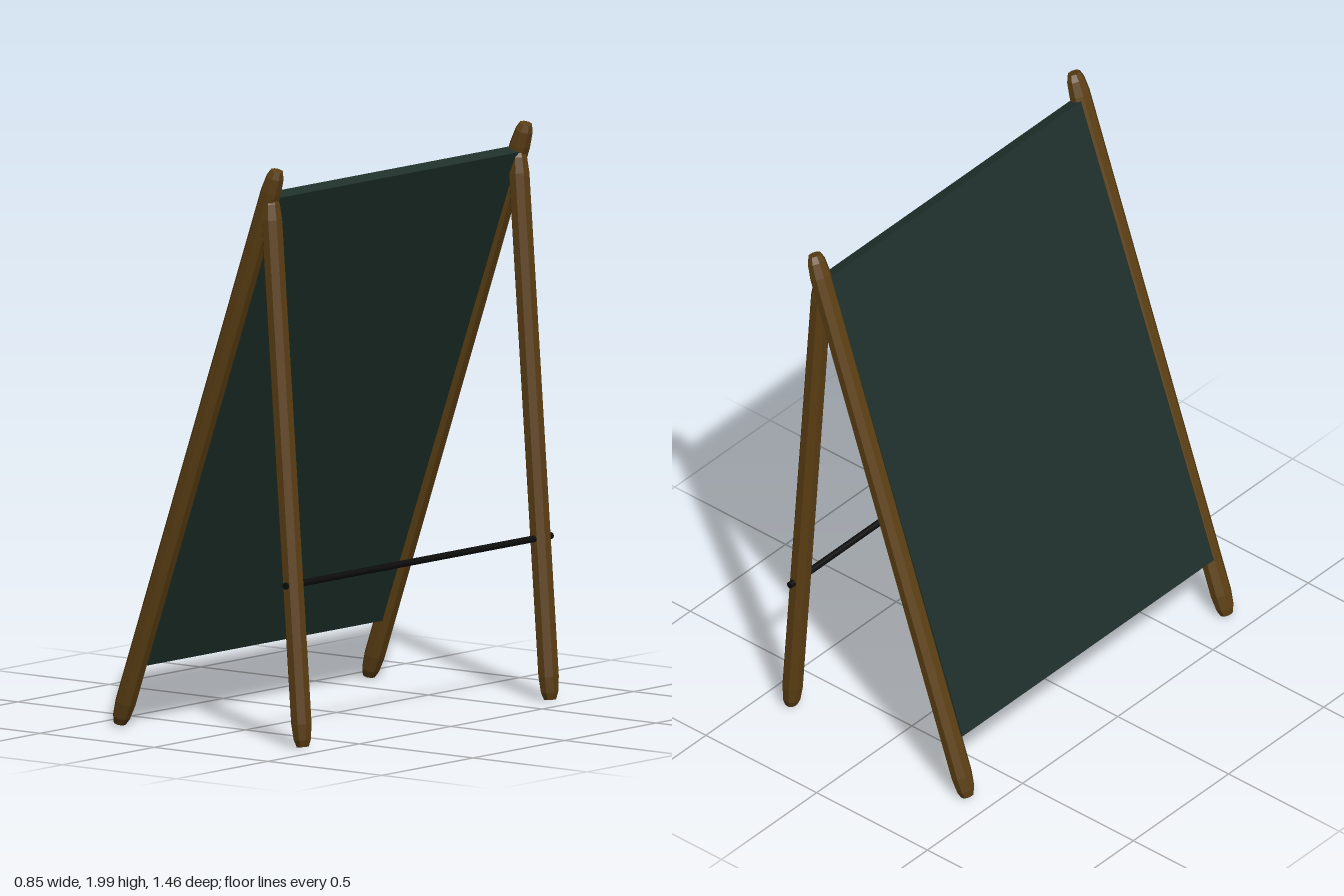
import * as THREE from 'three';

const wood = new THREE.MeshStandardMaterial({ color: 0x5c3f14, flatShading: true });
const board = new THREE.MeshStandardMaterial({ color: 0x1f302b });
const metal = new THREE.MeshStandardMaterial({ color: 0x0c0c0c });

const UP = new THREE.Vector3(0, 1, 0);

// Puts a mesh built along y between two points of the x-y plane
function place(mesh, a, b, z) {
  const dir = b.clone().sub(a);
  mesh.position.set((a.x + b.x) / 2, (a.y + b.y) / 2, z);
  mesh.quaternion.setFromUnitVectors(UP, new THREE.Vector3(dir.x, dir.y, 0).normalize());
  return mesh;
}

// Eight-sided pole with tapered, blunt ends
function makeLeg(name, a, b, z) {
  const h = a.distanceTo(b) / 2;
  const r = 0.0325 / Math.cos(Math.PI / 8);
  const profile = [
    [0, -h], [r * 0.6, -h], [r * 0.85, -h + 0.025], [r, -h + 0.08],
    [r, h - 0.08], [r * 0.85, h - 0.025], [r * 0.6, h], [0, h],
  ].map(([x, y]) => new THREE.Vector2(x, y));
  const geometry = new THREE.LatheGeometry(profile, 8, Math.PI / 8);
  geometry.scale(1, 1, 1.15);
  const leg = new THREE.Mesh(geometry, wood);
  leg.name = name;
  return place(leg, a, b, z);
}

export function createModel() {
  const model = new THREE.Group();
  model.name = 'easelBoard';
  const v = (x, y) => new THREE.Vector2(x, y);

  // Long sloping poles and shorter prop legs on both sides
  for (const [side, s] of [['Left', 1], ['Right', -1]]) {
    model.add(makeLeg('boardPole' + side, v(-0.407, 0.012), v(0.284, 1.992), s * 0.681));
    model.add(makeLeg('propLeg' + side, v(0.396, 0.008), v(0.255, 1.9), s * 0.676 + 0.004));
  }

  // Writing board between the poles
  const a = v(-0.342, 0.222), b = v(0.252, 1.902);
  const panel = new THREE.Mesh(new THREE.BoxGeometry(0.047, a.distanceTo(b), 1.32), board);
  panel.name = 'board';
  model.add(place(panel, a, b, 0.003));

  // Cross rod through the prop legs
  const rod = new THREE.Mesh(new THREE.CylinderGeometry(0.012, 0.012, 1.455, 12), metal);
  rod.name = 'crossRod';
  rod.rotation.x = Math.PI / 2;
  rod.position.set(0.355, 0.565, -0.002);
  model.add(rod);

  return model;
}
